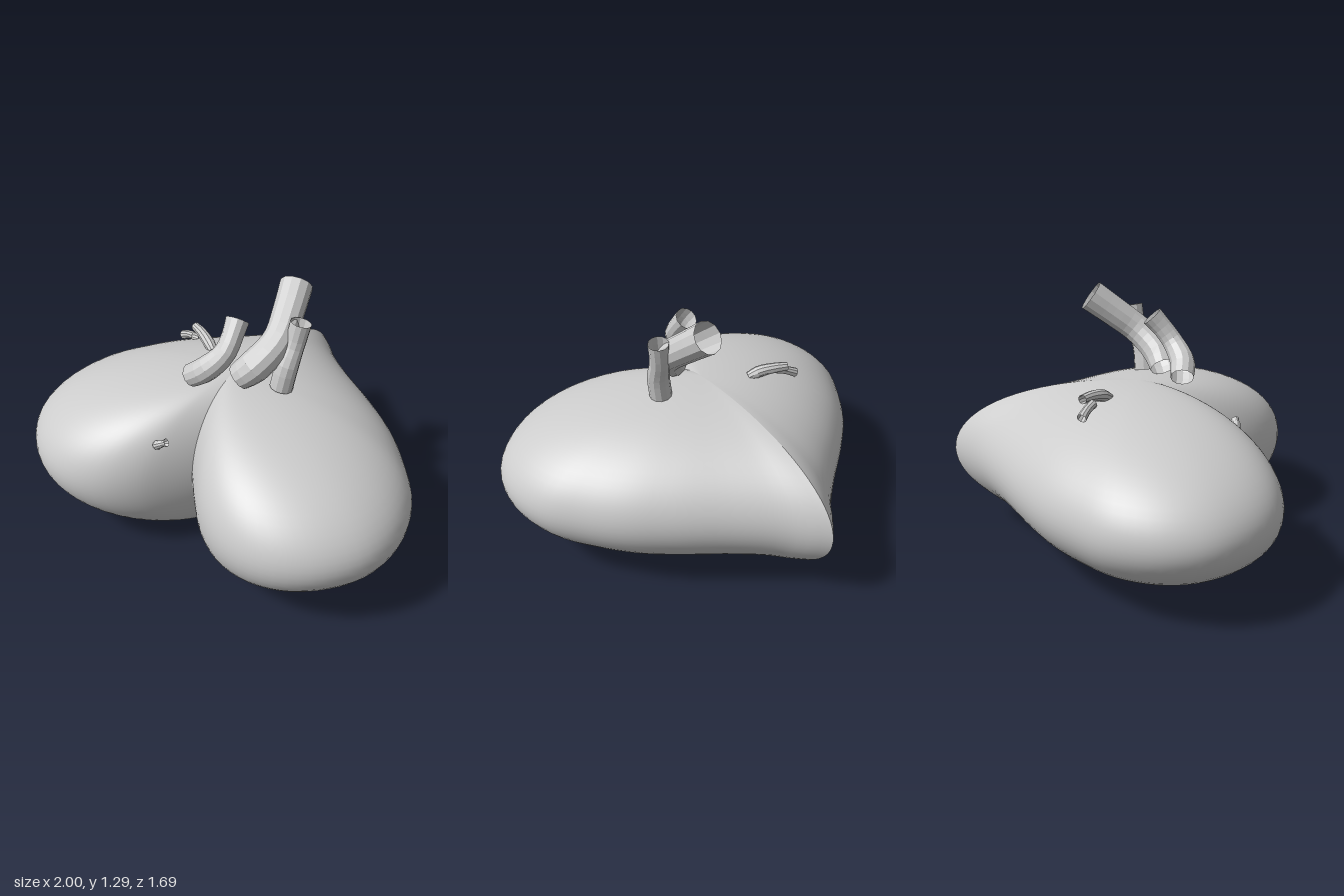
import * as THREE from 'three';

const material = new THREE.MeshStandardMaterial({ color: 0xcccccc, side: THREE.DoubleSide });
const tubeMaterial = new THREE.MeshStandardMaterial({ color: 0xcccccc, side: THREE.DoubleSide, flatShading: true });

const HALF_HEIGHT = 0.42;
const CENTRE_Z = 0.13;

// Plan outline of one half, from the cleft round the lobe to the tip (x, z)
const outline = new THREE.CatmullRomCurve3([
  [0, 0.52], [0.07, 0.605], [0.18, 0.72], [0.33, 0.81], [0.5, 0.842], [0.67, 0.81], [0.83, 0.71],
  [0.955, 0.55], [1, 0.35], [0.96, 0.13], [0.85, -0.05], [0.72, -0.21], [0.556, -0.355],
  [0.315, -0.54], [0.155, -0.68], [0.06, -0.79], [0, -0.85],
].map(([x, z]) => new THREE.Vector3(x, 0, z)));

// Half of the body: the outline shrinks elliptically towards top and bottom
function heartHalf(side) {
  const around = 56, rows = 40;
  const ring = outline.getSpacedPoints(around);
  const positions = [], index = [];
  for (let k = 0; k <= rows; k++) {
    const angle = -Math.PI / 2 + (Math.PI * k) / rows;
    const scale = Math.cos(angle);
    for (const p of ring) {
      positions.push(side * p.x * scale, HALF_HEIGHT * (1 + Math.sin(angle)), CENTRE_Z + (p.z - CENTRE_Z) * scale);
    }
  }
  for (let k = 0; k < rows; k++) {
    for (let j = 0; j < around; j++) {
      const a = k * (around + 1) + j, b = a + 1, c = a + around + 1, d = c + 1;
      if (side > 0) index.push(a, b, c, b, d, c);
      else index.push(a, c, b, b, c, d);
    }
  }
  const geometry = new THREE.BufferGeometry();
  geometry.setAttribute('position', new THREE.Float32BufferAttribute(positions, 3));
  geometry.setIndex(index);
  geometry.computeVertexNormals();
  const mesh = new THREE.Mesh(geometry, material);
  mesh.name = side > 0 ? 'leftHeartHalf' : 'rightHeartHalf';
  return mesh;
}

// Open tube along a smooth path; each point is [x, y, z, radius]
function vessel(name, points, segments = 10, sides = 12) {
  const path = new THREE.CatmullRomCurve3(points.map(([x, y, z]) => new THREE.Vector3(x, y, z)));
  const radii = new THREE.CatmullRomCurve3(points.map((p) => new THREE.Vector3(p[3], 0, 0)));
  const geometry = new THREE.TubeGeometry(path, segments, 1, sides);
  const position = geometry.attributes.position, normal = geometry.attributes.normal;
  const p = new THREE.Vector3(), n = new THREE.Vector3();
  for (let i = 0; i < position.count; i++) {
    const t = path.getUtoTmapping(Math.floor(i / (sides + 1)) / segments);
    p.fromBufferAttribute(position, i);
    n.fromBufferAttribute(normal, i);
    p.addScaledVector(n, radii.getPoint(t).x - 1);
    position.setXYZ(i, p.x, p.y, p.z);
  }
  const mesh = new THREE.Mesh(geometry, tubeMaterial);
  mesh.name = name;
  return mesh;
}

export function createModel() {
  const model = new THREE.Group();
  model.name = 'heart';

  // Body
  const body = new THREE.Group();
  body.name = 'heartBody';
  body.add(heartHalf(1), heartHalf(-1));
  model.add(body);

  // Large vessels on top
  model.add(
    vessel('mainVessel', [
      [0.085, 0.89, 0.235, 0.065], [0.15, 0.955, 0.2, 0.078], [0.205, 1.05, 0.09, 0.074],
      [0.19, 1.14, -0.03, 0.076], [0.165, 1.225, -0.145, 0.08],
    ], 12),
    vessel('frontVessel', [
      [-0.105, 0.895, 0.345, 0.056], [-0.03, 0.95, 0.34, 0.06], [0.04, 1.03, 0.285, 0.052],
      [0.05, 1.1, 0.23, 0.05], [0.045, 1.155, 0.18, 0.055],
    ]),
    vessel('sideVessel', [
      [0.25, 0.83, 0.125, 0.056], [0.27, 0.95, 0.11, 0.055], [0.285, 1.05, 0.07, 0.048], [0.302, 1.158, 0.05, 0.05],
    ], 8),
  );

  // Small vessels lying on the surface
  model.add(
    vessel('upperBranch', [
      [-0.39, 0.852, -0.085, 0.022], [-0.33, 0.85, -0.055, 0.026], [-0.26, 0.835, -0.015, 0.03], [-0.215, 0.81, 0.01, 0.024],
    ], 8, 10),
    vessel('lowerBranch', [[-0.46, 0.785, -0.075, 0.024], [-0.41, 0.81, -0.06, 0.021], [-0.36, 0.825, -0.04, 0.022]], 4, 10),
    vessel('cleftBranch', [[-0.125, 0.65, 0.61, 0.022], [-0.1, 0.67, 0.615, 0.02], [-0.07, 0.685, 0.605, 0.02]], 4, 10),
    vessel('undersideBranch', [[0.3, 0.035, 0.12, 0.018], [0.3, 0.035, 0.08, 0.02], [0.3, 0.045, 0.04, 0.018]], 4, 10),
  );
  return model;
}
